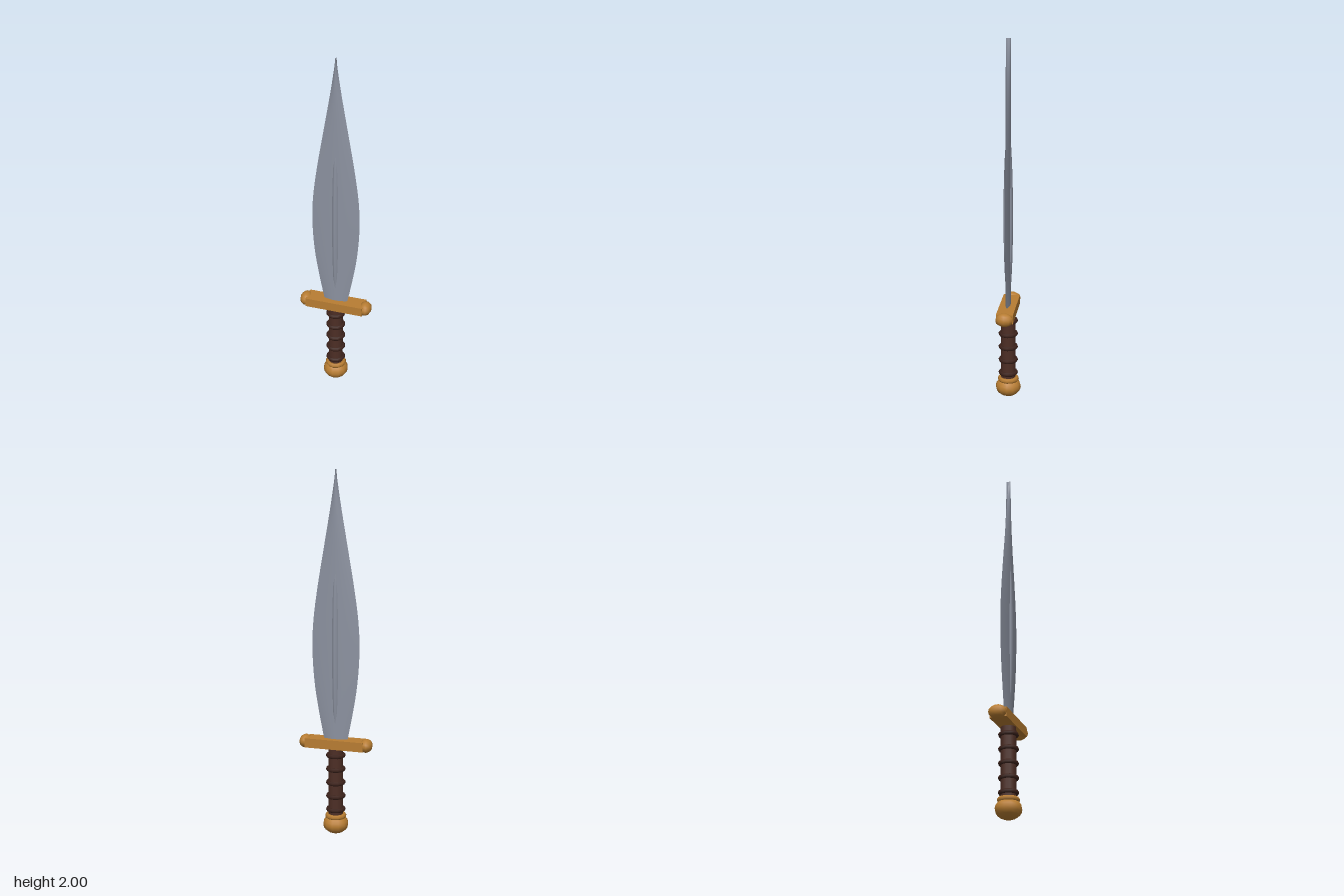
import * as THREE from 'three';

const steel = new THREE.MeshStandardMaterial({ color: 0x8c92a0 });
steel.name = 'steel';
const brass = new THREE.MeshStandardMaterial({ color: 0xb87d32 });
brass.name = 'brass';
const leather = new THREE.MeshStandardMaterial({ color: 0x4d2e25 });
leather.name = 'leather';
const darkLeather = new THREE.MeshStandardMaterial({ color: 0x3d231c });
darkLeather.name = 'darkLeather';

function add(group, name, geometry, material, x = 0, y = 0, z = 0) {
  const mesh = new THREE.Mesh(geometry, material);
  mesh.name = name;
  mesh.position.set(x, y, z);
  group.add(mesh);
  return mesh;
}

// Leaf blade: lens-shaped cross-sections lofted along a smooth outline
function bladeGeometry() {
  const outline = new THREE.SplineCurve([
    [0.065, 0.53], [0.098, 0.7], [0.122, 0.86], [0.133, 1.04], [0.126, 1.2],
    [0.102, 1.38], [0.068, 1.58], [0.032, 1.79], [0.012, 1.92], [0.001, 2.0],
  ].map(([x, y]) => new THREE.Vector2(x, y)));
  const rows = 36, cols = 12, thick = 0.013;
  const pos = [], index = [];
  for (const side of [1, -1]) {
    const base = pos.length / 3;
    for (let r = 0; r <= rows; r++) {
      const p = outline.getPoint(r / rows);
      for (let c = 0; c <= cols; c++) {
        const u = (c / cols) * 2 - 1;
        pos.push(u * p.x * side, p.y, side * thick * (1 - u * u));
      }
    }
    for (let r = 0; r < rows; r++) {
      for (let c = 0; c < cols; c++) {
        const a = base + r * (cols + 1) + c, b = a + cols + 1;
        index.push(a, a + 1, b, a + 1, b + 1, b);
      }
    }
  }
  const g = new THREE.BufferGeometry();
  g.setAttribute('position', new THREE.Float32BufferAttribute(pos, 3));
  g.setIndex(index);
  g.computeVertexNormals();
  return g;
}

export function createModel() {
  const sword = new THREE.Group();
  sword.name = 'shortSword';

  // Blade with a slender raised spine on both faces
  add(sword, 'blade', bladeGeometry(), steel);
  add(sword, 'bladeSpine', new THREE.SphereGeometry(1, 8, 12), steel, 0, 1.04, 0)
    .scale.set(0.022, 0.48, 0.026);

  // Cross guard with rounded ends
  add(sword, 'guard', new THREE.BoxGeometry(0.33, 0.052, 0.092), brass, 0, 0.517, 0);
  for (const side of [1, -1]) {
    add(sword, side > 0 ? 'leftGuardEnd' : 'rightGuardEnd',
      new THREE.SphereGeometry(1, 10, 8), brass, side * 0.173, 0.517, 0)
      .scale.set(0.035, 0.037, 0.049);
  }

  // Wrapped grip
  add(sword, 'grip', new THREE.CylinderGeometry(0.041, 0.041, 0.4, 12), leather, 0, 0.3, 0);
  for (let i = 0; i < 5; i++) {
    const ring = new THREE.TorusGeometry(0.043, 0.012, 6, 12).rotateX(Math.PI / 2);
    add(sword, 'gripRing', ring, darkLeather, 0, 0.14 + i * 0.0775, 0);
  }

  // Pommel and its collar
  add(sword, 'pommelCollar', new THREE.TorusGeometry(0.046, 0.014, 6, 12).rotateX(Math.PI / 2),
    brass, 0, 0.102, 0);
  add(sword, 'pommel', new THREE.SphereGeometry(1, 12, 10), brass, 0, 0.055, 0)
    .scale.set(0.071, 0.055, 0.071);

  return sword;
}
